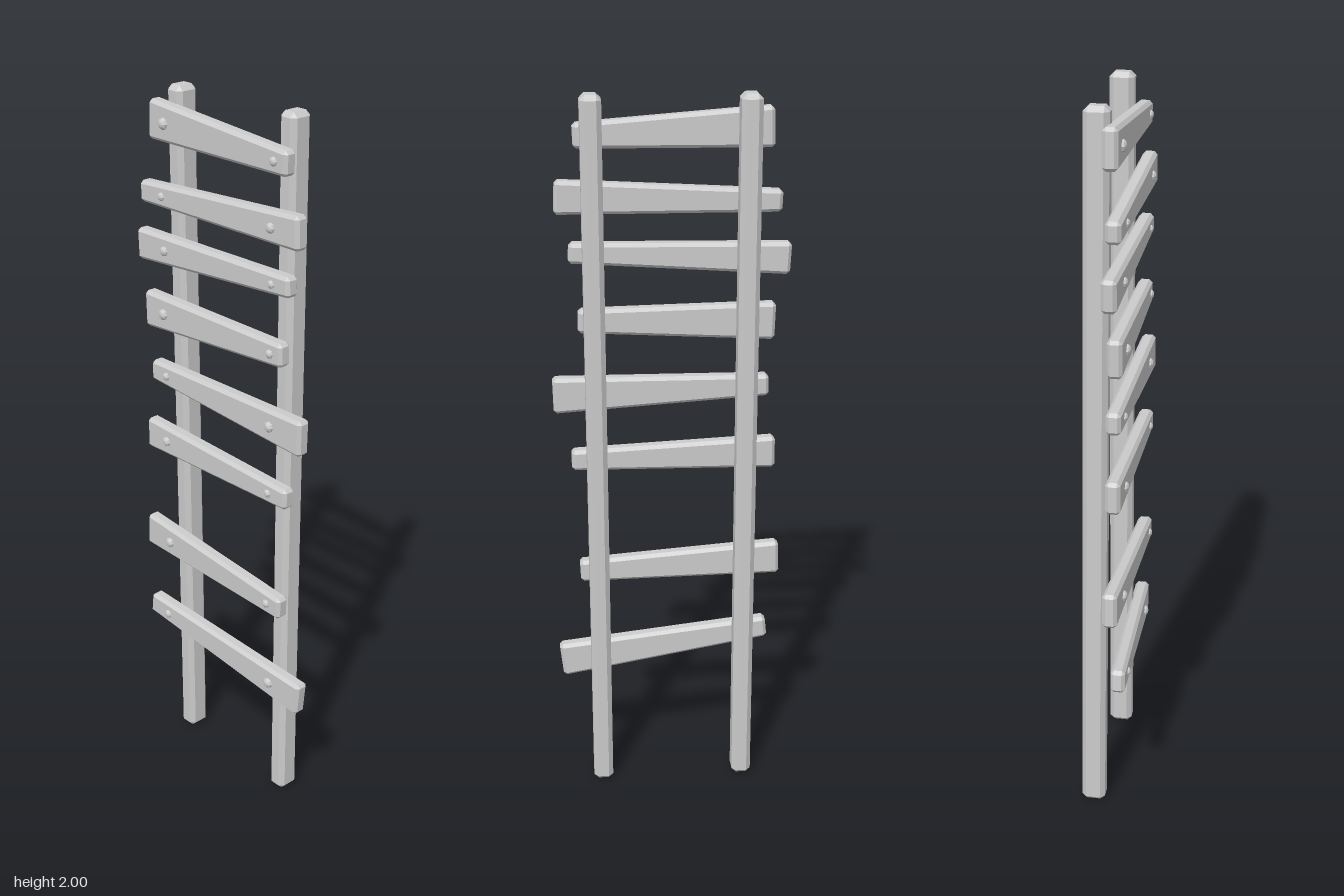
import * as THREE from 'three';
import { ConvexGeometry } from 'three/addons/geometries/ConvexGeometry.js';

const material = new THREE.MeshStandardMaterial({ color: 0xcccccc, flatShading: true });
const SIGNS = [-1, 1];

// Chamfered bar between two rectangular ends. place(end, u, v, inset) returns a point:
// end is -1 or 1, u and v are offsets across the section, inset runs along the bar.
function chamferedBar(name, ends, chamfer, place) {
  const points = [];
  for (const end of SIGNS) {
    const { w, d } = ends[end < 0 ? 0 : 1];
    for (const su of SIGNS) {
      for (const sv of SIGNS) {
        const u = su * w / 2, v = sv * d / 2;
        const cu = su * chamfer, cv = sv * chamfer;
        points.push(place(end, u - cu, v - cv, 0));
        points.push(place(end, u, v - cv, chamfer));
        points.push(place(end, u - cu, v, chamfer));
      }
    }
  }
  const mesh = new THREE.Mesh(new ConvexGeometry(points), material);
  mesh.name = name;
  return mesh;
}

// Upright post from a bottom centre to a top centre
function createPost(name, bottom, top) {
  const size = { w: 0.055, d: 0.066 };
  return chamferedBar(name, [size, size], 0.013, (end, u, v, inset) => {
    const c = end < 0 ? bottom : top;
    return new THREE.Vector3(c[0] + u, c[1] - end * inset, c[2] + v);
  });
}

const THICKNESS = 0.04;

// Crooked tapered plank with a domed nail at each post; ends are [x, y, z, height]
function createRung(index, left, right) {
  const group = new THREE.Group();
  group.name = `rung${index + 1}`;
  const slope = (right[1] - left[1]) / (right[0] - left[0]);
  const ends = [left, right].map((e) => ({ w: e[3], d: THICKNESS }));
  group.add(chamferedBar('plank', ends, 0.009, (end, u, v, inset) => {
    const e = end < 0 ? left : right;
    return new THREE.Vector3(e[0] - end * inset - slope * u, e[1] + u, e[2] + v);
  }));

  for (const x of [-0.205, 0.205]) {
    const t = (x - left[0]) / (right[0] - left[0]);
    const [, y, z, h] = left.map((a, i) => THREE.MathUtils.lerp(a, right[i], t));
    const r = 0.005 + 0.115 * h;
    const dome = new THREE.SphereGeometry(r, 8, 3, 0, Math.PI * 2, 0, Math.PI / 2);
    dome.rotateX(Math.PI / 2);
    const nail = new THREE.Mesh(dome, material);
    nail.name = 'nail';
    nail.scale.z = 0.75;
    nail.position.set(x, y, z + THICKNESS / 2 - 0.001);
    group.add(nail);
  }
  return group;
}

export function createModel() {
  const model = new THREE.Group();
  model.name = 'ladder';

  // Posts
  model.add(createPost('rightPost', [-0.204, 0.005, -0.037], [-0.202, 1.995, -0.018]));
  model.add(createPost('leftPost', [0.202, 0.005, -0.028], [0.202, 2, -0.027]));

  // Rungs from top to bottom, each as its two ends [x, y, z, height]
  const rungs = [
    [[-0.268, 1.903, 0.023, 0.105], [0.246, 1.888, 0.027, 0.064]],
    [[-0.295, 1.709, 0.035, 0.058], [0.297, 1.73, 0.034, 0.088]],
    [[-0.32, 1.557, 0.028, 0.086], [0.264, 1.584, 0.03, 0.054]],
    [[-0.284, 1.383, 0.036, 0.102], [0.243, 1.398, 0.032, 0.064]],
    [[-0.27, 1.203, 0.03, 0.06], [0.315, 1.191, 0.031, 0.1]],
    [[-0.292, 1.004, 0.032, 0.09], [0.269, 1, 0.033, 0.058]],
    [[-0.31, 0.68, 0.026, 0.098], [0.253, 0.658, 0.034, 0.064]],
    [[-0.282, 0.445, 0.043, 0.064], [0.314, 0.382, 0.017, 0.1]],
  ];
  rungs.forEach(([left, right], i) => model.add(createRung(i, left, right)));
  return model;
}
